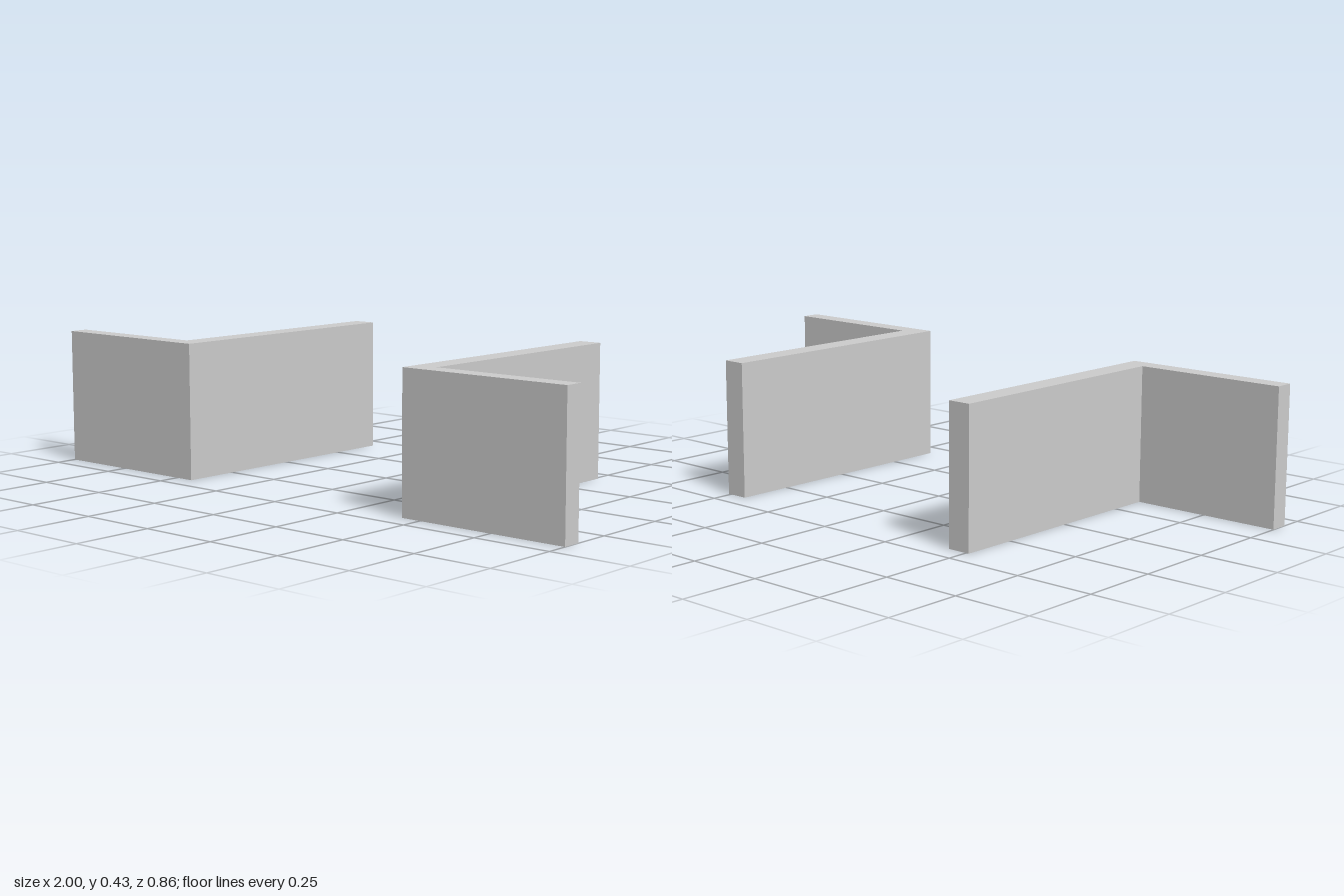
import * as THREE from 'three';

const HEIGHT = 0.43;
const DEPTH = 0.43;   // half of the overall depth
const INNER = 0.435;  // faces across the opening
const OUTER = 0.51;   // outer face of the side wall
const WING_BACK = 0.37;

// L-shaped wall: a side wall running back and a wing turned outward at the front
function cornerWall(side, material) {
  const plan = [
    [INNER, DEPTH], [1, DEPTH], [1, WING_BACK],
    [OUTER, WING_BACK], [OUTER, -DEPTH], [INNER, -DEPTH],
  ].map(([x, z]) => new THREE.Vector2(side * x, -z));
  const geometry = new THREE.ExtrudeGeometry(new THREE.Shape(plan), {
    depth: HEIGHT, bevelEnabled: false,
  });
  geometry.rotateX(-Math.PI / 2); // plan lies flat, extruded upward
  return new THREE.Mesh(geometry, material);
}

export function createModel() {
  const group = new THREE.Group();
  group.name = 'cornerWalls';
  const material = new THREE.MeshStandardMaterial({ color: 0xcccccc });
  for (const [name, side] of [['leftCornerWall', 1], ['rightCornerWall', -1]]) {
    const wall = cornerWall(side, material);
    wall.name = name;
    group.add(wall);
  }
  return group;
}
